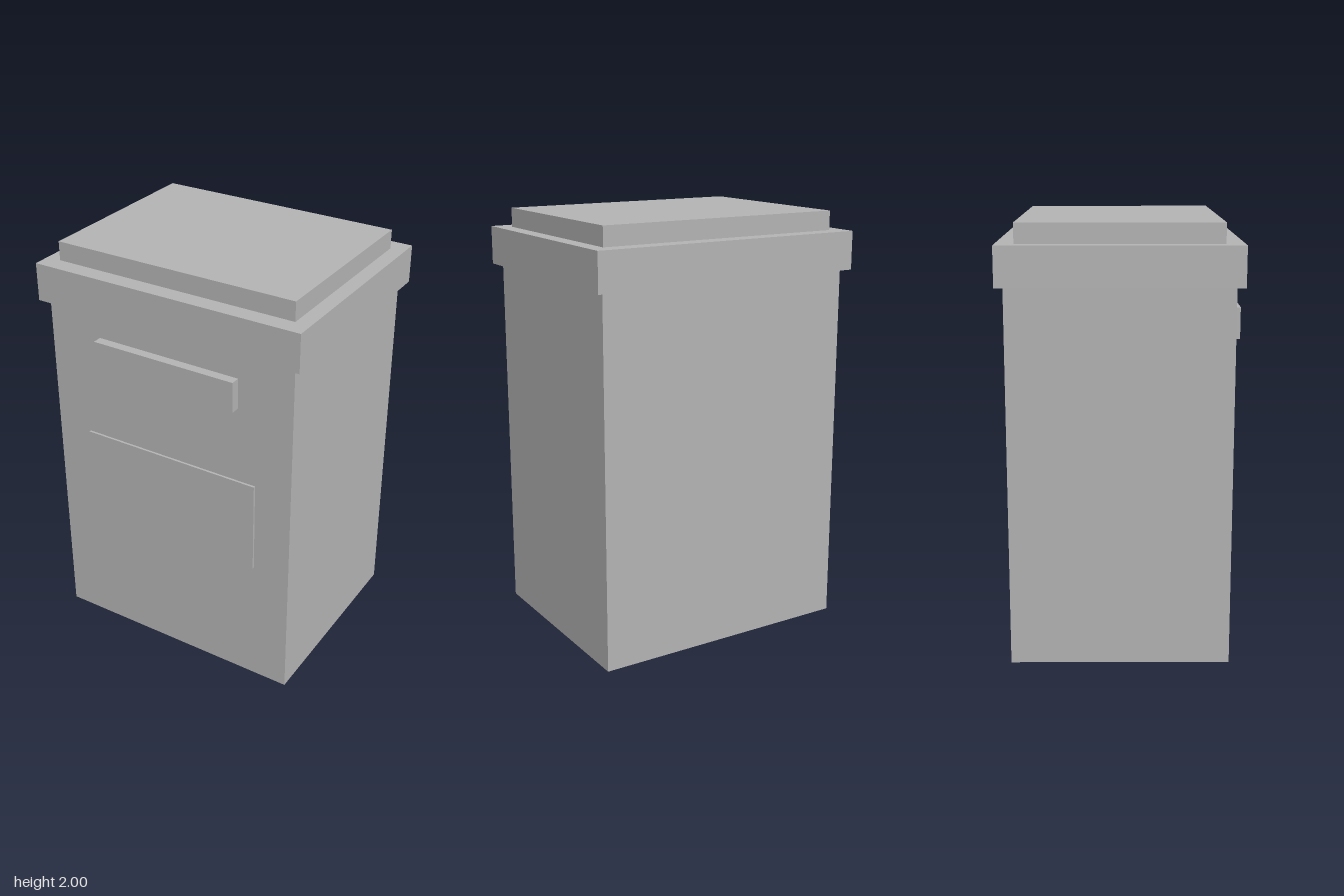
import * as THREE from 'three';

export function createModel() {
  const group = new THREE.Group();
  const grey = new THREE.MeshStandardMaterial({ color: 0xb2b2b2 });
  grey.name = 'grey';

  // Box centred on x, given by its width and its y and z extents
  const addBox = (name, width, y0, y1, z0, z1) => {
    const mesh = new THREE.Mesh(new THREE.BoxGeometry(width, y1 - y0, z1 - z0), grey);
    mesh.name = name;
    mesh.position.set(0, (y0 + y1) / 2, (z0 + z1) / 2);
    group.add(mesh);
  };

  // Bin body and stepped lid
  addBox('body', 1.266, 0, 1.73, -0.505, 0.495);
  addBox('lidRim', 1.342, 1.73, 1.91, -0.54, 0.53);
  addBox('lidTop', 1.2, 1.91, 2, -0.457, 0.447);

  // Raised handle and label plate on the front
  addBox('handle', 0.725, 1.46, 1.605, 0.495, 0.54);
  addBox('frontPlate', 0.906, 0.64, 1.09, 0.495, 0.506);

  return group;
}
